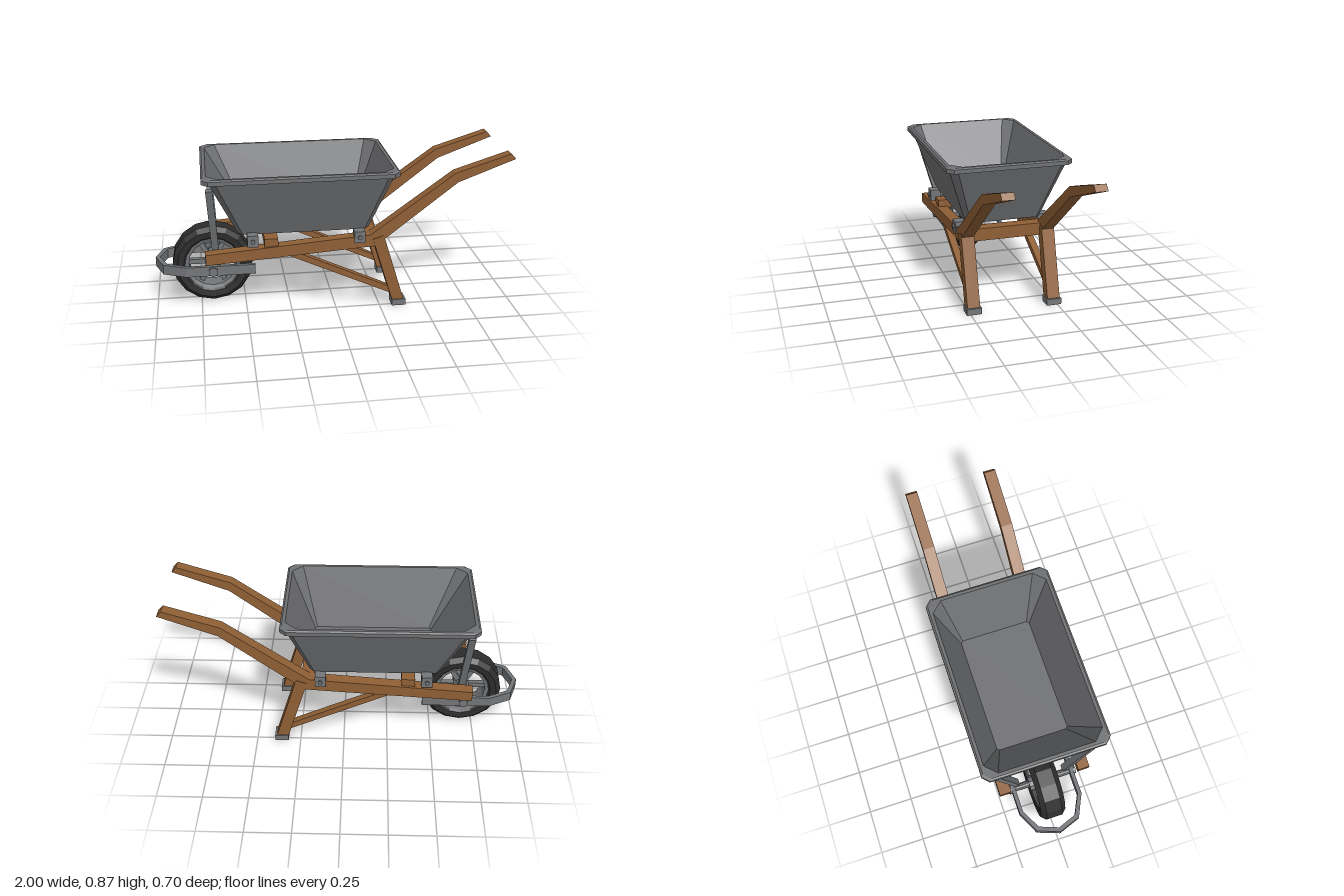
import * as THREE from 'three';

const mat = (name, color) => Object.assign(new THREE.MeshStandardMaterial({ color }), { name });

export function createModel() {
  const wood = mat('wood', 0x8f5f35);
  const steel = mat('steel', 0x737578);
  const trayGrey = mat('tray grey', 0x6f7072);
  const rubber = mat('rubber', 0x2d2d2d);
  const model = new THREE.Group();
  model.name = 'wheelbarrow';

  // Faceted normals for a low-poly look
  const flat = (geo) => {
    const g = geo.index ? geo.toNonIndexed() : geo;
    g.computeVertexNormals();
    return g;
  };
  const add = (name, geo, material, parent = model) => {
    const mesh = new THREE.Mesh(flat(geo), material);
    mesh.name = name;
    parent.add(mesh);
    return mesh;
  };
  const box = (name, material, size, pos) => {
    const m = add(name, new THREE.BoxGeometry(...size), material);
    m.position.set(...pos);
    return m;
  };
  // Square bar between two points; w runs in the x-y plane, d along z
  const bar = (name, material, a, b, w, d, parent = model) => {
    const A = new THREE.Vector3(...a), B = new THREE.Vector3(...b);
    const m = add(name, new THREE.BoxGeometry(w, A.distanceTo(B), d), material, parent);
    m.position.copy(A).add(B).multiplyScalar(0.5);
    m.quaternion.setFromUnitVectors(new THREE.Vector3(0, 1, 0), B.sub(A).normalize());
    return m;
  };
  // Cylinder along z
  const rod = (name, material, r, len, sides, pos, parent = model) => {
    const m = add(name, new THREE.CylinderGeometry(r, r, len, sides).rotateX(Math.PI / 2), material, parent);
    m.position.set(...pos);
    return m;
  };
  const polygon = (pts) => new THREE.Shape(pts.map(([x, y]) => new THREE.Vector2(x, y)));

  // Rectangle with cut corners: [y, xMin, xMax, zHalf, cut]
  const section = ([y, x0, x1, z, c]) => [
    [x1, y, -z + c], [x1, y, z - c], [x1 - c, y, z], [x0 + c, y, z],
    [x0, y, z - c], [x0, y, -z + c], [x0 + c, y, -z], [x1 - c, y, -z],
  ];
  const loft = (rows) => {
    const s = rows.map(section), pos = [];
    const tri = (...p) => p.forEach((v) => pos.push(...v));
    for (let i = 0; i < s.length - 1; i++) {
      for (let j = 0; j < 8; j++) {
        const k = (j + 1) % 8;
        tri(s[i][j], s[i + 1][j], s[i + 1][k]);
        tri(s[i][j], s[i + 1][k], s[i][k]);
      }
    }
    const last = s[s.length - 1];
    for (let j = 1; j < 7; j++) {
      tri(s[0][0], s[0][j], s[0][j + 1]);
      tri(last[0], last[j + 1], last[j]);
    }
    const g = new THREE.BufferGeometry();
    g.setAttribute('position', new THREE.Float32BufferAttribute(pos, 3));
    return g;
  };

  // Tray: outer wall, rolled rim, inner wall and floor in one skin
  add('tray', loft([
    [0.457, -0.535, 0.19, 0.215, 0.025],
    [0.788, -0.69, 0.315, 0.33, 0.04],
    [0.788, -0.725, 0.338, 0.352, 0.035],
    [0.811, -0.725, 0.338, 0.352, 0.035],
    [0.818, -0.715, 0.328, 0.342, 0.035],
    [0.818, -0.698, 0.311, 0.325, 0.06],
    [0.475, -0.5, 0.18, 0.206, 0.012],
  ]), trayGrey);

  // Bent rails that become the handles
  const railShape = polygon([
    [-0.715, 0.305], [0.22, 0.369], [0.675, 0.72], [0.995, 0.84],
    [0.968, 0.87], [0.66, 0.773], [0.19, 0.436], [-0.72, 0.365],
  ]);

  for (const s of [1, -1]) {
    const side = s > 0 ? 'left' : 'right';
    const rail = add(side + 'RailAndHandle',
      new THREE.ExtrudeGeometry(railShape, { depth: 0.066, bevelEnabled: false }), wood);
    rail.position.z = s * 0.231 - 0.033;

    // Leg, brace and shoe
    bar(side + 'Leg', wood, [0.235, 0.42, s * 0.231], [0.355, 0.025, s * 0.231], 0.064, 0.072);
    bar(side + 'Brace', wood, [-0.28, 0.36, s * 0.231], [0.31, 0.09, s * 0.231], 0.034, 0.04);
    box(side + 'Shoe', steel, [0.078, 0.036, 0.084], [0.358, 0.018, s * 0.231]);

    // Tray brackets with bolts
    for (const [x, y] of [[-0.46, 0.435], [0.13, 0.428]]) {
      box(side + 'TrayBracket', steel, [0.06, 0.066, 0.064], [x, y, s * 0.24]);
      rod(side + 'BracketBolt', steel, 0.013, 0.012, 6, [x, y, s * 0.276]);
    }

    // Strut from wheel guard to tray corner
    bar(side + 'Strut', steel, [-0.655, 0.235, s * 0.142], [-0.685, 0.745, s * 0.285], 0.038, 0.028);
    rod(side + 'AxleNut', steel, 0.028, 0.016, 6, [-0.68, 0.235, s * 0.192]);
  }

  // Cross beams under the tray
  box('rearCrossBeam', wood, [0.07, 0.07, 0.4], [0.2, 0.4, 0]);
  box('frontCrossBeam', wood, [0.075, 0.05, 0.5], [-0.358, 0.412, 0]);

  // Wheel guard: flat strap looped around the wheel
  const half = [[-0.445, 0.185], [-0.83, 0.185], [-0.955, 0.125], [-1, 0]];
  const inner = [[-0.975, 0], [-0.935, 0.108], [-0.825, 0.163], [-0.445, 0.163]];
  const mirror = (pts) => pts.map(([x, z]) => [x, -z]).reverse();
  const guardShape = polygon([
    ...half, ...mirror(half).slice(1), ...mirror(inner).slice(0, 3), ...inner,
  ]);
  const guard = add('wheelGuard',
    new THREE.ExtrudeGeometry(guardShape, { depth: 0.056, bevelEnabled: false }).rotateX(-Math.PI / 2), steel);
  guard.position.y = 0.208;

  // Wheel, built around its own centre
  const wheel = new THREE.Group();
  wheel.name = 'wheel';
  wheel.position.set(-0.68, 0.227, 0);
  model.add(wheel);
  const ring = (name, pts, material) => add(name, new THREE.LatheGeometry(
    pts.map(([r, z]) => new THREE.Vector2(r, z)), 16).rotateX(Math.PI / 2), material, wheel);
  ring('tire', [[0.152, -0.055], [0.165, -0.068], [0.2, -0.072], [0.226, -0.045], [0.226, 0.045],
    [0.2, 0.072], [0.165, 0.068], [0.152, 0.055], [0.152, -0.055]], rubber);
  ring('wheelRim', [[0.135, -0.05], [0.156, -0.058], [0.156, 0.058], [0.135, 0.05], [0.135, -0.05]], steel);
  rod('hub', steel, 0.045, 0.16, 10, [0, 0, 0], wheel);
  rod('axle', steel, 0.02, 0.37, 10, [0, 0.006, 0], wheel);
  for (let i = 0; i < 6; i++) {
    const a = (i * Math.PI) / 3, c = Math.cos(a), n = Math.sin(a);
    bar('spoke', steel, [c * 0.03, n * 0.03, 0], [c * 0.142, n * 0.142, 0], 0.028, 0.03, wheel);
  }
  return model;
}
